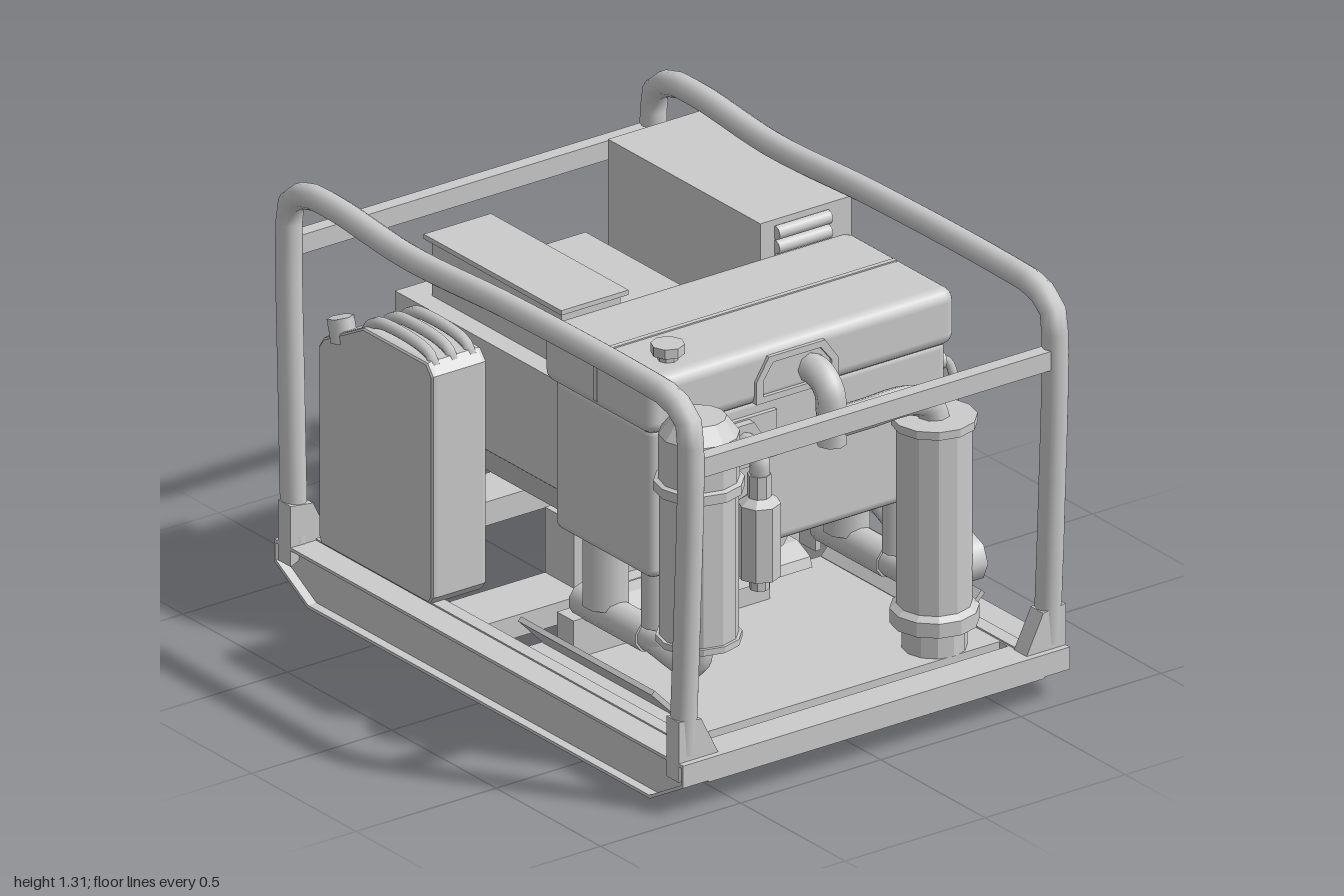
import * as THREE from 'three';
import { RoundedBoxGeometry } from 'three/addons/geometries/RoundedBoxGeometry.js';

const V = (x, y, z) => new THREE.Vector3(x, y, z);

export function createModel() {
  const model = new THREE.Group();
  const mat = new THREE.MeshStandardMaterial({ color: 0xcccccc, side: THREE.DoubleSide });
  const add = (name, geo) => {
    const m = new THREE.Mesh(geo, mat);
    m.name = name;
    model.add(m);
    return m;
  };
  // Box given by its bounds, optionally rounded
  const box = (name, x0, x1, y0, y1, z0, z1, r = 0) => {
    const s = [x1 - x0, y1 - y0, z1 - z0];
    const g = r ? new RoundedBoxGeometry(...s, 2, r) : new THREE.BoxGeometry(...s);
    g.translate((x0 + x1) / 2, (y0 + y1) / 2, (z0 + z1) / 2);
    return add(name, g);
  };
  // Straight cylinder between two points
  const rod = (name, a, b, r, sides = 10) => {
    const d = b.clone().sub(a);
    const g = new THREE.CylinderGeometry(r, r, d.length(), sides);
    g.applyQuaternion(new THREE.Quaternion().setFromUnitVectors(V(0, 1, 0), d.normalize()));
    g.translate(...a.clone().add(b).multiplyScalar(0.5).toArray());
    return add(name, g);
  };
  // Bent pipe through points
  const pipe = (name, pts, r, seg = 20, sides = 8) => add(name,
    new THREE.TubeGeometry(new THREE.CatmullRomCurve3(pts.map(p => V(...p)), false, 'centripetal'), seg, r, sides));
  // Upright turned part: profile of [radius, height]
  const lathe = (name, x, z, prof, sides = 8) => {
    const g = new THREE.LatheGeometry(prof.map(p => new THREE.Vector2(...p)), sides).toNonIndexed();
    g.computeVertexNormals();
    return add(name, g.translate(x, 0, z));
  };
  const shape = pts => new THREE.Shape(pts.map(p => new THREE.Vector2(...p)));
  // Extrusion of an (x, y) outline along z
  const extrudeZ = (name, s, z0, z1) => add(name,
    new THREE.ExtrudeGeometry(s, { depth: z1 - z0, bevelEnabled: false }).translate(0, 0, z0));
  // Extrusion of a (z, y) outline along x
  const extrudeX = (name, s, x0, x1) => add(name,
    new THREE.ExtrudeGeometry(s, { depth: x1 - x0, bevelEnabled: false }).rotateY(-Math.PI / 2).translate(x1, 0, 0));

  // Skid rails (outward channels), hoops and corner gussets on both sides
  const rail = shape([[-0.98, 0.16], [-0.98, 0.09], [-0.82, 0], [0.82, 0], [0.98, 0.09], [0.98, 0.16]]);
  const lip = rail.clone();
  lip.holes.push(shape([[-0.97, 0.15], [-0.97, 0.096], [-0.817, 0.01], [0.817, 0.01], [0.97, 0.096], [0.97, 0.15]]));
  for (const s of [-1, 1]) {
    extrudeX('skidRail', rail, s > 0 ? 0.55 : -0.66, s > 0 ? 0.66 : -0.55);
    extrudeX('skidRailLip', lip, s > 0 ? 0.66 : -0.69, s > 0 ? 0.69 : -0.66);
    pipe('frameHoop', [[0.65, 0.12, 0.92], [0.65, 0.6, 0.945], [0.65, 1.12, 0.962], [0.65, 1.22, 0.95],
      [0.65, 1.265, 0.88], [0.65, 1.275, 0.72], [0.65, 1.27, 0.1], [0.65, 1.25, -0.38], [0.65, 1.275, -0.75],
      [0.65, 1.265, -0.88], [0.65, 1.22, -0.95], [0.65, 1.12, -0.962], [0.65, 0.6, -0.95], [0.65, 0.12, -0.935]]
      .map(p => [p[0] * s, p[1], p[2]]), 0.039, 64, 10);
    for (const z of [-0.96, 0.9])
      extrudeZ('cornerGusset', shape([[0.69 * s, 0.1], [0.55 * s, 0.16], [0.61 * s, 0.28], [0.69 * s, 0.29]]), z, z + 0.06);
  }
  for (const [a, b] of [[0.94, 0.985], [-0.985, -0.94]]) box('upperCrossbar', -0.63, 0.63, 1.05, 1.11, a, b);
  box('frontCrossMember', -0.6, 0.6, 0.085, 0.16, 0.87, 0.98);
  box('rearCrossMember', -0.6, 0.6, 0.085, 0.16, -0.98, -0.82);
  for (const [a, b] of [[0.5, 0.83], [0.08, 0.22], [-0.34, -0.15]]) box('floorBeam', -0.56, 0.56, 0.085, 0.155, a, b);
  box('floorPlate', -0.56, 0.56, 0.14, 0.16, 0.05, 0.83);
  for (const s of [-1, 1]) {
    box('floorStrip', s > 0 ? 0.555 : -0.6, s > 0 ? 0.6 : -0.555, 0.14, 0.165, -0.9, 0.9);
    // Sloped engine mount flanges
    const flange = box('mountFlange', -0.07, 0.07, -0.008, 0.008, 0.06, 0.7);
    flange.rotation.z = s * 0.8;
    flange.position.set(s * 0.54, 0.21, 0);
  }
  // Angled engine cradle
  extrudeX('engineCradle', shape([[0.18, 0.28], [0.31, 0.28], [0.3, 0.31], [0.24, 0.34], [0.18, 0.34]]), -0.42, 0.27);
  box('cradleBase', -0.5, 0.2, 0.16, 0.28, 0.12, 0.2);

  // Engine block, crankcase and fuel tank
  box('engineBlock', -0.53, 0.53, 0.56, 1.04, 0.14, 0.61, 0.03);
  box('fuelTank', -0.55, 0.55, 1.02, 1.2, 0.11, 0.63, 0.04);
  box('tankSeam', -0.553, 0.553, 1.05, 1.17, 0.364, 0.38);
  box('tankSeamTop', -0.52, 0.52, 1.19, 1.204, 0.364, 0.38);
  lathe('fuelCap', -0.41, 0.53, [[0, 1.19], [0.03, 1.19], [0.03, 1.22], [0.05, 1.22], [0.05, 1.25], [0, 1.25]]);
  const ring = (cx, cy, r, n) => shape(Array.from({ length: n }, (_, i) => {
    const a = (i + 0.5) / n * Math.PI * 2;
    return [cx + r * Math.cos(a), cy + r * Math.sin(a)];
  }));
  extrudeZ('crankcase', ring(-0.055, 0.62, 0.28, 10), 0.1, 0.3);
  extrudeZ('crankcaseFront', ring(-0.055, 0.62, 0.2, 10), 0.3, 0.45);
  // Exhaust port surround on the tank front
  const arch = shape([[-0.175, 1.03], [-0.175, 1.1], [-0.13, 1.17], [0.07, 1.17], [0.12, 1.1], [0.12, 1.03]]);
  arch.holes.push(shape([[-0.15, 1.05], [-0.15, 1.1], [-0.115, 1.15], [0.055, 1.15], [0.095, 1.1], [0.095, 1.05]]));
  extrudeZ('portSurround', arch, 0.61, 0.64);

  // Exhaust pipe and muffler
  pipe('exhaustDownpipe', [[0.025, 1.09, 0.58], [0.025, 1.09, 0.67], [0.025, 1.05, 0.72], [0.025, 0.98, 0.73], [0.025, 0.89, 0.73]], 0.045);
  pipe('exhaustCrossPipe', [[0.025, 0.95, 0.73], [0.15, 0.95, 0.73], [0.3, 0.95, 0.73], [0.37, 0.92, 0.735], [0.39, 0.85, 0.74]], 0.047);
  lathe('muffler', 0.385, 0.74, [[0, 0.16], [0.095, 0.16], [0.095, 0.24], [0.13, 0.24], [0.13, 0.285], [0.11, 0.3],
    [0.11, 0.86], [0.125, 0.86], [0.125, 0.885], [0, 0.885]], 12);
  rod('mufflerBoss', V(0.46, 0.4, 0.73), V(0.53, 0.4, 0.73), 0.073, 8);

  // Air filter canister and small front filter
  lathe('airFilter', -0.455, 0.74, [[0, 0.41], [0.125, 0.41], [0.125, 0.43], [0.115, 0.43], [0.115, 0.88], [0.132, 0.885],
    [0.132, 0.915], [0.118, 0.92], [0.118, 1.06], [0.08, 1.11], [0, 1.11]], 12);
  pipe('filterElbow', [[-0.455, 0.43, 0.74], [-0.455, 0.34, 0.73], [-0.45, 0.31, 0.68], [-0.43, 0.31, 0.5]], 0.042);
  lathe('smallFilter', -0.225, 0.72, [[0, 0.5], [0.03, 0.5], [0.03, 0.53], [0.063, 0.54], [0.063, 0.77], [0.035, 0.79],
    [0.035, 0.86], [0, 0.86]]);
  pipe('smallFilterPipe', [[-0.225, 0.84, 0.72], [-0.225, 0.9, 0.72], [-0.225, 0.93, 0.69], [-0.225, 0.93, 0.6]], 0.03);
  box('filterPlate', -0.31, -0.09, 0.845, 0.99, 0.6, 0.625);
  extrudeZ('filterBracket', shape([[-0.3, 0.85], [-0.15, 0.85], [-0.15, 0.92], [-0.19, 0.985], [-0.26, 0.985], [-0.3, 0.92]]), 0.62, 0.65);

  // Intake and exhaust manifolds low on both sides
  for (const s of [-1, 1]) {
    rod('manifold', V(s * 0.43, 0.315, 0.15), V(s * 0.43, 0.315, 0.62), 0.045);
    rod('manifoldCollar', V(s * 0.43, 0.315, 0.15), V(s * 0.43, 0.315, 0.47), 0.052);
    rod('manifoldRiser', V(s * 0.43, 0.34, 0.26), V(s * 0.43, 0.57, 0.26), 0.07);
    rod('manifoldStub', V(s * 0.43, 0.36, 0.5), V(s * 0.43, 0.57, 0.5), 0.045);
  }
  pipe('mufflerElbow', [[0.42, 0.38, 0.66], [0.45, 0.4, 0.55], [0.46, 0.46, 0.4], [0.45, 0.5, 0.33], [0.43, 0.5, 0.25]], 0.042);
  rod('elbowClamp', V(0.45, 0.485, 0.36), V(0.45, 0.51, 0.31), 0.055);

  // Side switch box, knobs and hoses
  box('switchBox', 0.52, 0.585, 0.73, 0.93, 0.27, 0.44, 0.02);
  for (const y of [0.78, 0.85]) rod('switchKnob', V(0.52, y, 0.25), V(0.575, y, 0.25), 0.02, 8);
  rod('hoseFitting', V(0.52, 0.94, 0.535), V(0.56, 0.94, 0.535), 0.032);
  pipe('sideHose', [[0.53, 0.94, 0.535], [0.58, 0.93, 0.54], [0.6, 0.82, 0.55], [0.6, 0.73, 0.48], [0.59, 0.68, 0.39], [0.53, 0.6, 0.37]], 0.014, 30, 6);
  box('hoseClamp', 0.5, 0.56, 0.57, 0.61, 0.32, 0.43);
  pipe('coolantElbow', [[0.38, 0.93, 0.16], [0.38, 0.93, 0.09], [0.38, 0.9, 0.045], [0.38, 0.78, 0.035]], 0.03);
  pipe('coolantHose', [[0.38, 0.82, 0.035], [0.4, 0.65, 0.07], [0.43, 0.48, 0.11], [0.46, 0.4, 0.07], [0.5, 0.37, -0.02]], 0.014, 30, 6);

  // Generator drum, fan guard and end louvres
  extrudeZ('generatorDrum', ring(-0.06, 0.62, 0.28, 10), -0.62, -0.03);
  for (let i = 0; i < 4; i++)
    add('fanGuardRing', new THREE.TorusGeometry(0.21 - i * 0.03, 0.009, 5, 24).translate(-0.055, 0.62, 0.08 - i * 0.025));
  for (let i = 0; i < 7; i++) {
    const y = 0.42 + i * 0.055, w = Math.sqrt(0.05 - (y - 0.585) ** 2);
    pipe('drumLouvre', [[-0.06 - w, y, -0.615], [-0.06 - w * 0.8, y, -0.63], [-0.06 + w * 0.8, y, -0.63], [-0.06 + w, y, -0.615]], 0.014, 10, 6);
  }
  // Hood open underneath and behind, with a lidded box on top
  box('hoodTop', -0.4, 0.28, 0.915, 0.93, -0.79, 0.01);
  for (const x of [-0.4, 0.265])
    extrudeX('hoodSide', shape([[0.01, 0.59], [0.01, 0.93], [-0.79, 0.93], [-0.79, 0.87], [-0.4, 0.59]]), x, x + 0.015);
  box('hoodBox', -0.335, -0.125, 0.93, 1.11, -0.7, -0.08);
  box('hoodBoxLid', -0.35, -0.11, 1.105, 1.12, -0.72, -0.06);
  box('generatorFoot', -0.2, 0.08, 0.15, 0.36, -0.34, -0.2);

  // Control cabinet: recessed gauge panel and a rear bay open to the back
  box('cabinet', 0.36, 0.64, 0.22, 1.2, -0.61, -0.06);
  box('cabinetLowerPanel', 0.62, 0.68, 0.22, 0.6, -0.61, -0.06);
  box('cabinetTop', 0.36, 0.685, 1.185, 1.2, -0.79, -0.06);
  for (const z of [-0.61, -0.075]) box('cabinetFrame', 0.63, 0.685, 0.22, 1.2, z, z + 0.015);
  box('cabinetRearCover', 0.36, 0.64, 0.975, 1.19, -0.79, -0.61);
  for (const x of [0.36, 0.61]) box('cabinetRearWall', x, x + 0.015, 0.22, 1.2, -0.79, -0.61);
  box('cabinetBase', 0.36, 0.66, 0.16, 0.23, -0.8, -0.06);
  box('cabinetBaseTab', 0.28, 0.37, 0.16, 0.2, -0.79, -0.66);
  for (const z of [-0.175, -0.495]) for (const y of [0.89, 1.08])
    rod('gauge', V(0.62, y, z), V(0.65, y, z), 0.085, 8);
  for (let i = 0; i < 3; i++) {
    rod('sideLouvre', V(0.67, 0.28 + i * 0.045, -0.48), V(0.67, 0.28 + i * 0.045, -0.16), 0.02, 8);
    for (const z of [-0.055, -0.795])
      rod('endLouvre', V(0.41, 1.07 + i * 0.045, z), V(0.6, 1.07 + i * 0.045, z), 0.022, 8);
  }
  for (const x of [0.5, 0.58])
    extrudeX('cabinetFoot', shape([[0.015, 0.16], [-0.06, 0.16], [-0.06, 0.36], [-0.03, 0.36], [0, 0.22], [0.015, 0.22]]), x, x + 0.02);
  rod('rearCylinder', V(0.38, 0.33, -0.74), V(0.6, 0.33, -0.74), 0.055);
  box('drainBlock', 0.15, 0.33, 0.16, 0.27, -0.83, -0.78, 0.015);
  rod('drainPlug', V(0.24, 0.22, -0.88), V(0.24, 0.22, -0.82), 0.05, 6);

  // Fuel can with a triple handle
  const can = shape([[-0.86, 0.17], [-0.35, 0.17], [-0.335, 0.19], [-0.335, 0.88], [-0.36, 0.91], [-0.66, 0.91], [-0.85, 0.81], [-0.87, 0.78], [-0.87, 0.19]]);
  add('fuelCan', new THREE.ExtrudeGeometry(can, { depth: 0.165, bevelThickness: 0.015, bevelSize: 0.008, bevelSegments: 2 })
    .rotateY(-Math.PI / 2).translate(-0.43, 0, 0));
  for (const x of [-0.58, -0.515, -0.45])
    pipe('canHandle', [[x, 0.88, -0.69], [x, 0.92, -0.66], [x, 0.94, -0.62], [x, 0.94, -0.42], [x, 0.92, -0.37], [x, 0.87, -0.355]], 0.018, 20, 6);
  rod('canCap', V(-0.58, 0.82, -0.79), V(-0.58, 0.89, -0.81), 0.04, 6);
  return model;
}
